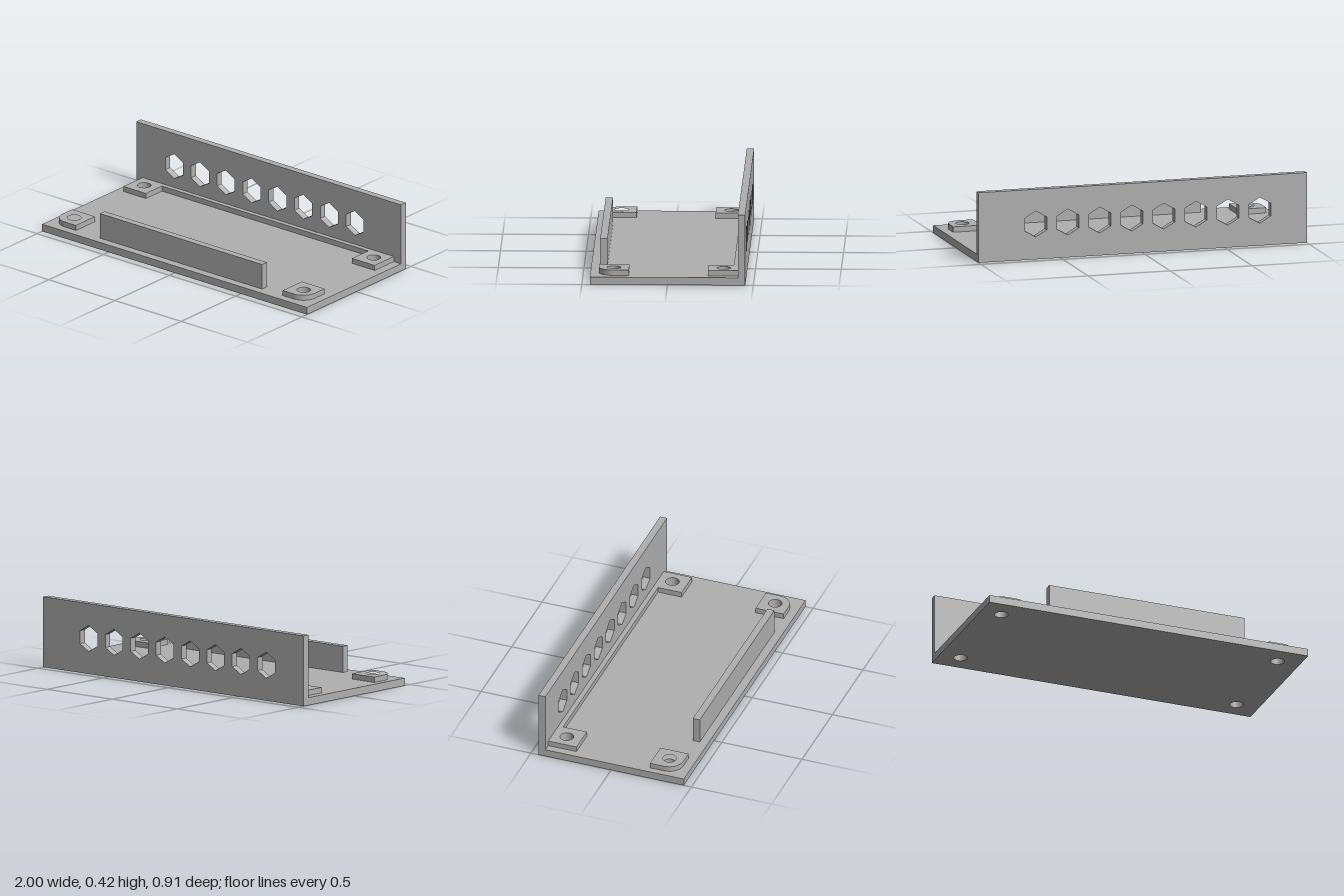
import * as THREE from 'three';

const BASE_TOP = 0.045, PAD_TOP = 0.077, BACK = -0.453, WALL_FRONT = -0.41;
const screwHoles = [[-0.871, -0.325], [0.864, -0.325], [-0.871, 0.316], [0.864, 0.316]];

// Closed outline from [x, y] points
function outline(points) {
  return new THREE.Shape(points.map(([x, y]) => new THREE.Vector2(x, y)));
}

function circleHole(x, z) {
  return new THREE.Path().absarc(x, -z, 0.04, 0, Math.PI * 2, true);
}

// Horizontal slab: outline drawn in (x, -z), raised from y0 to y1
function slab(shape, y0, y1) {
  const g = new THREE.ExtrudeGeometry(shape, { depth: y1 - y0, bevelEnabled: false, curveSegments: 24 });
  return g.rotateX(-Math.PI / 2).translate(0, y0, 0);
}

export function createModel() {
  const group = new THREE.Group();
  const grey = new THREE.MeshStandardMaterial({ color: 0xb0b0b0 });
  grey.name = 'grey plastic';
  const add = (name, geometry) => {
    const mesh = new THREE.Mesh(geometry, grey);
    mesh.name = name;
    group.add(mesh);
  };

  // Base plate with four screw holes
  const base = outline([[-1, -0.453], [1, -0.453], [1, -WALL_FRONT], [-1, -WALL_FRONT]]);
  base.holes = screwHoles.map(([x, z]) => circleHole(x, z));
  add('basePlate', slab(base, 0, BASE_TOP));

  // Back wall with a row of eight hexagonal holes
  const wall = outline([[-1, 0], [1, 0], [1, 0.417], [-1, 0.417]]);
  for (let i = 0; i < 8; i++) {
    const hex = [];
    for (let k = 0; k < 6; k++) {
      const a = Math.PI / 2 - k * Math.PI / 3;
      hex.push(new THREE.Vector2(-0.714 + i * 0.195 + 0.077 * Math.cos(a), 0.21 + 0.077 * Math.sin(a)));
    }
    wall.holes.push(new THREE.Path(hex));
  }
  const wallGeometry = new THREE.ExtrudeGeometry(wall, { depth: WALL_FRONT - BACK, bevelEnabled: false });
  add('backWall', wallGeometry.translate(0, 0, BACK));

  // Back mounting pads joined by a narrow ledge along the wall
  const rear = outline([
    [-0.953, 0.41], [-0.953, 0.234], [-0.783, 0.234], [-0.783, 0.381],
    [0.775, 0.381], [0.775, 0.234], [0.945, 0.234], [0.945, 0.41],
  ]);
  rear.holes = screwHoles.slice(0, 2).map(([x, z]) => circleHole(x, z));
  add('backPadsAndLedge', slab(rear, BASE_TOP, PAD_TOP));

  // Front mounting pads, each with a rounded outer corner
  const z0 = 0.227, z1 = 0.402, r = 0.087;
  for (const [name, inner, outer, hole] of [
    ['frontRightPad', -0.787, -0.96, screwHoles[2]],
    ['frontLeftPad', 0.775, 0.947, screwHoles[3]],
  ]) {
    const s = Math.sign(outer);
    const pad = new THREE.Shape();
    pad.moveTo(inner, -z0);
    pad.lineTo(inner, -z1);
    pad.lineTo(outer - s * r, -z1);
    pad.absarc(outer - s * r, -z1 + r, r, -Math.PI / 2, s > 0 ? 0 : -Math.PI, s < 0);
    pad.lineTo(outer, -z0);
    pad.holes.push(circleHole(...hole));
    add(name, slab(pad, BASE_TOP, PAD_TOP));
  }

  // Low front retaining wall
  const lip = new THREE.BoxGeometry(1.225, 0.2 - BASE_TOP, 0.043);
  add('frontRetainingWall', lip.translate(0.008, (0.2 + BASE_TOP) / 2, 0.381));

  return group;
}
